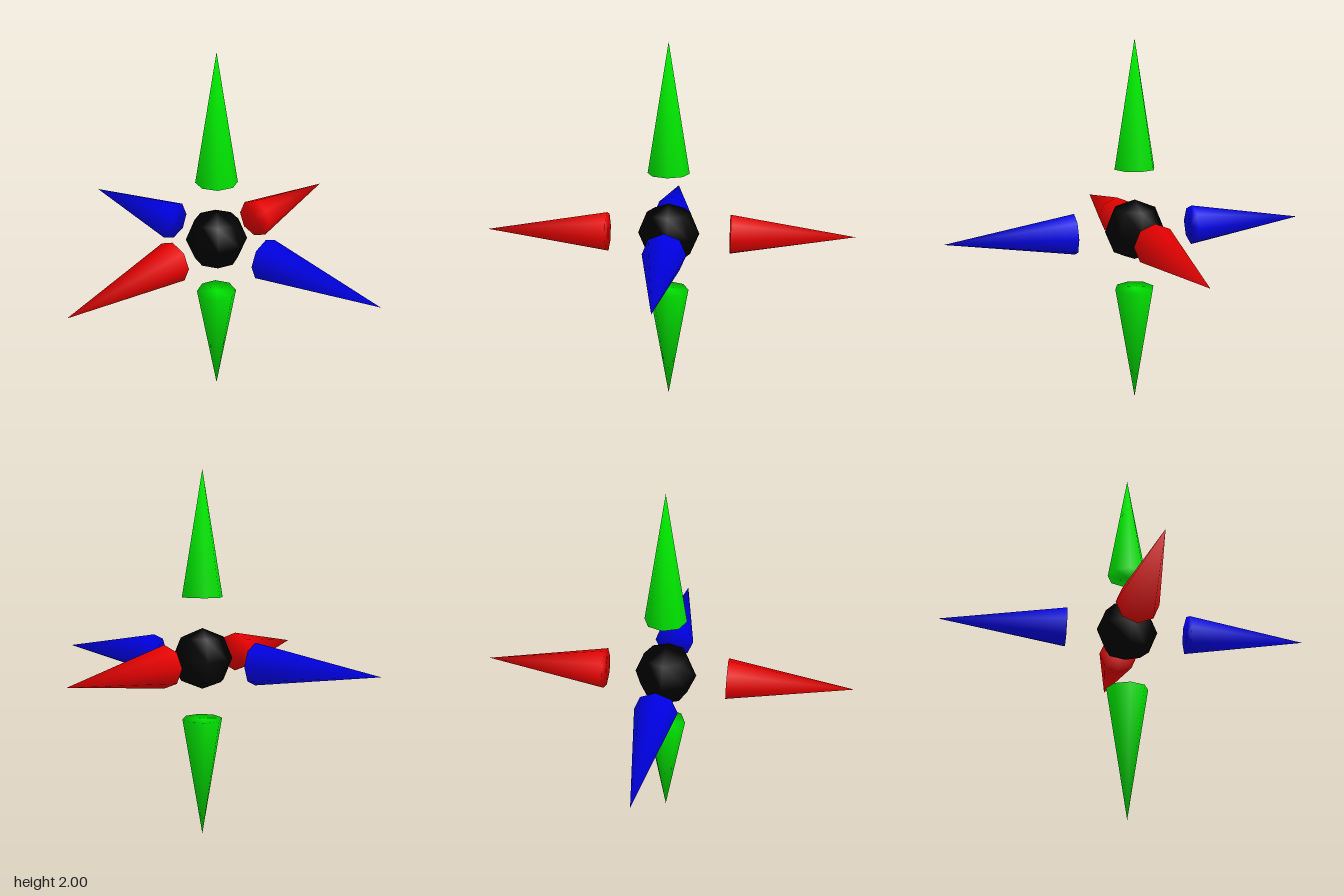
import * as THREE from 'three';
import { mergeVertices } from 'three/addons/utils/BufferGeometryUtils.js';

// Share vertices across all edges so that the low-poly shapes shade smoothly
function smooth(geometry) {
  geometry.deleteAttribute('uv');
  geometry.deleteAttribute('normal');
  const merged = mergeVertices(geometry, 1e-4);
  merged.computeVertexNormals();
  return merged;
}

function material(name, color) {
  const m = new THREE.MeshStandardMaterial({ color });
  m.name = name;
  return m;
}

export function createModel() {
  const group = new THREE.Group();
  group.name = 'axisMarker';

  // Central octagonal ball
  const ball = new THREE.Mesh(smooth(new THREE.SphereGeometry(1 / 6, 8, 4)), material('black', 0x000000));
  ball.name = 'centreBall';
  ball.position.y = 1;
  group.add(ball);

  // Pairs of cones pointing outwards along each axis
  const length = 2 / 3;
  const coneGeometry = smooth(new THREE.ConeGeometry(1 / 9, length, 8));
  const axes = [
    ['x', 'red', 0xff0000, new THREE.Vector3(1, 0, 0)],
    ['y', 'green', 0x00ff00, new THREE.Vector3(0, 1, 0)],
    ['z', 'blue', 0x0000ff, new THREE.Vector3(0, 0, 1)],
  ];
  for (const [axis, colorName, color, dir] of axes) {
    const mat = material(colorName, color);
    for (const side of [1, -1]) {
      const cone = new THREE.Mesh(coneGeometry, mat);
      cone.name = axis + (side > 0 ? 'PositiveCone' : 'NegativeCone');
      if (axis === 'x') cone.rotation.z = -side * Math.PI / 2;
      if (axis === 'y' && side < 0) cone.rotation.x = Math.PI;
      if (axis === 'z') cone.rotation.x = side * Math.PI / 2;
      cone.position.copy(dir).multiplyScalar(side * (1 - length / 2));
      cone.position.y += 1;
      group.add(cone);
    }
  }
  return group;
}
